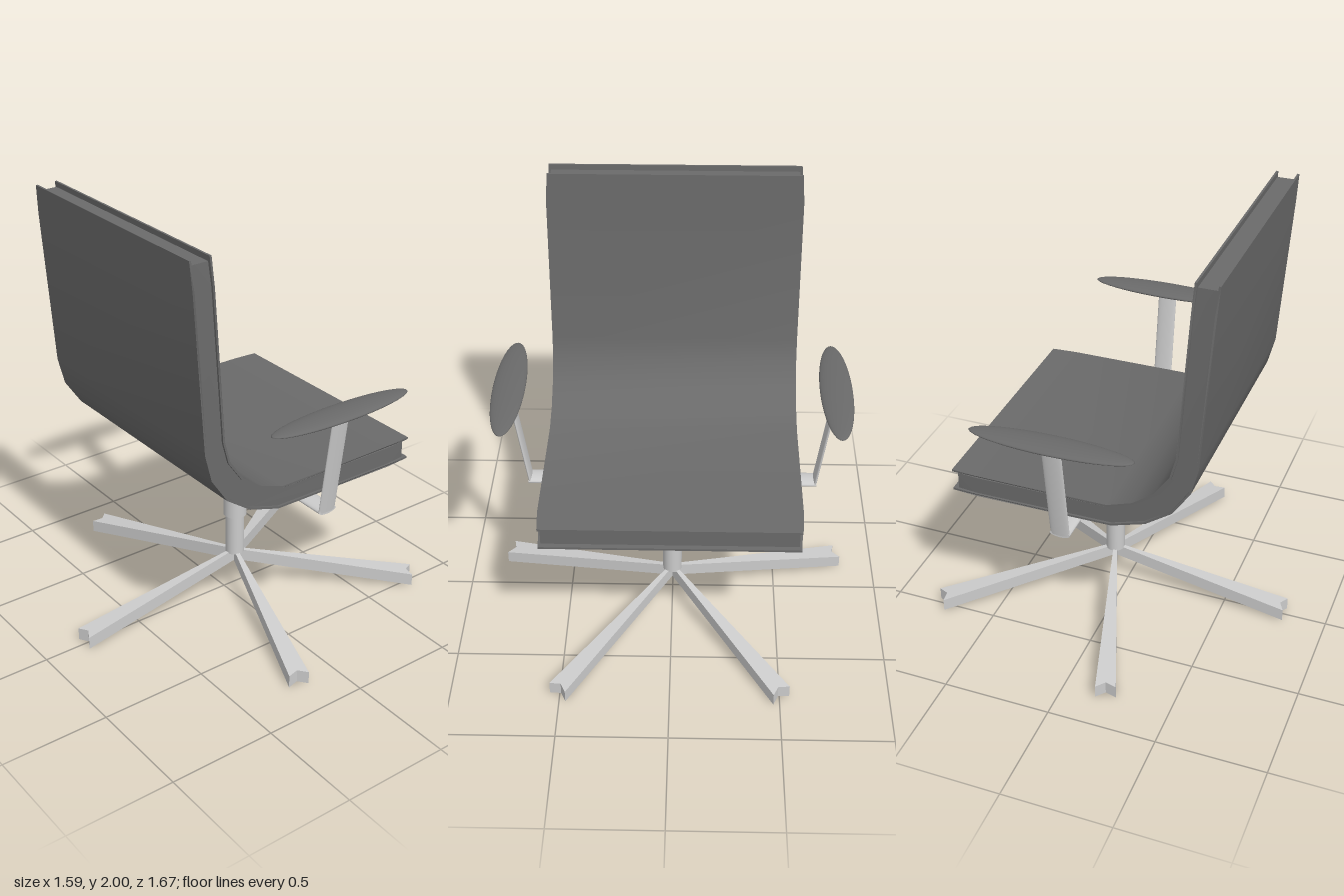
import * as THREE from 'three';
import { toCreasedNormals } from 'three/addons/utils/BufferGeometryUtils.js';

export function createModel() {
  const chair = new THREE.Group();
  const metal = new THREE.MeshStandardMaterial({ color: 0xcccccc });
  const dark = new THREE.MeshStandardMaterial({ color: 0x6a6a6a });
  const axisX = 0.065; // centre of the column

  const add = (name, geometry, material, x = 0, y = 0, z = 0) => {
    const mesh = new THREE.Mesh(geometry, material);
    mesh.name = name;
    mesh.position.set(x, y, z);
    chair.add(mesh);
    return mesh;
  };

  // Shell side profile, from the top of the back to the front of the seat
  const inner = [[-0.485, 2], [-0.494, 1.87], [-0.427, 1.18], [-0.4, 1.08], [-0.33, 0.98],
    [-0.235, 0.91], [-0.12, 0.87], [0.5, 0.868], [0.62, 0.868]];
  inner[1][0] = -0.476;
  const outer = [[-0.59, 2], [-0.581, 1.87], [-0.528, 1.15], [-0.495, 1.02], [-0.415, 0.9],
    [-0.295, 0.815], [-0.14, 0.766], [0.5, 0.76], [0.62, 0.76]];

  // Sweeps the layer between depths a and b (0 inner, 1 outer) across the width
  function shellLayer(a, b, halfWidth, trim) {
    const line = (t) => inner.map(([x, y], i) => {
      const p = new THREE.Vector2(x, y).lerp(new THREE.Vector2(...outer[i]), t);
      if (i === 0) p.y -= trim;
      if (i === inner.length - 1) p.x -= trim;
      return p;
    });
    const shape = new THREE.Shape([...line(a), ...line(b).reverse()]);
    const g = new THREE.ExtrudeGeometry(shape, { depth: 2 * halfWidth, bevelEnabled: false });
    g.translate(0, 0, -halfWidth);
    const p = g.attributes.position;
    for (let i = 0; i < p.count; i++) {
      // the ends narrow slightly
      if (p.getX(i) > 0.55 || p.getY(i) > 1.93) p.setZ(i, p.getZ(i) * 0.985);
    }
    return toCreasedNormals(g, 0.6);
  }
  add('frontShellPanel', shellLayer(0, 0.09, 0.58, 0), dark);
  add('shellCore', shellLayer(0.09, 0.91, 0.57, 0.024), dark);
  add('backShellPanel', shellLayer(0.91, 1, 0.58, 0), dark);

  // Inverted pyramid under the seat
  const mount = new THREE.BoxGeometry(0.64, 0.08, 0.6);
  const mp = mount.attributes.position;
  for (let i = 0; i < mp.count; i++) {
    if (mp.getY(i) > 0) mp.setX(i, mp.getX(i) + 0.18);
    else mp.setXYZ(i, axisX + Math.sign(mp.getX(i)) * 0.045, mp.getY(i), Math.sign(mp.getZ(i)) * 0.045);
  }
  mount.computeVertexNormals();
  add('seatMount', mount, dark, 0, 0.722, 0);

  // Column
  add('upperColumn', new THREE.CylinderGeometry(0.056, 0.056, 0.31, 32), metal, axisX, 0.545, 0);
  add('lowerColumn', new THREE.CylinderGeometry(0.045, 0.045, 0.23, 32), metal, axisX, 0.295, 0);

  // Oval cross bar, arm posts and pads
  const bar = new THREE.CylinderGeometry(1, 1, 1.33, 24);
  bar.scale(0.047, 1, 0.017).rotateX(Math.PI / 2);
  add('armCrossBar', bar, metal, axisX, 0.725, 0);
  for (const side of [1, -1]) {
    const name = side > 0 ? 'left' : 'right';
    const post = new THREE.CylinderGeometry(1, 1, 0.5, 24);
    post.scale(0.045, 1, 0.01);
    add(name + 'ArmPost', post, metal, axisX, 0.968, side * 0.694).rotation.x = side * Math.atan2(0.07, 0.49);
    const pad = new THREE.SphereGeometry(1, 40, 20);
    pad.scale(0.37, 0.018, 0.073);
    add(name + 'ArmPad', pad, dark, 0.067, 1.225, side * 0.727);
  }

  // Five tapered legs with notched ends, sloping down from the column
  const reach = 0.865;
  const plan = new THREE.Shape([[0, -0.008], [reach, -0.046], [reach - 0.025, 0], [reach, 0.046], [0, 0.008]]
    .map(([x, y]) => new THREE.Vector2(x, y)));
  const leg = new THREE.ExtrudeGeometry(plan, { depth: 0.06, bevelEnabled: false });
  leg.rotateX(-Math.PI / 2);
  const lp = leg.attributes.position;
  for (let i = 0; i < lp.count; i++) {
    lp.setY(i, lp.getY(i) + Math.max(0, 0.132 * (1 - lp.getX(i) / reach)));
  }
  leg.computeVertexNormals();
  for (let i = 0; i < 5; i++) {
    add('leg' + (i + 1), leg, metal, axisX, 0, 0).rotation.y = Math.PI + i * Math.PI * 0.4;
  }
  return chair;
}
